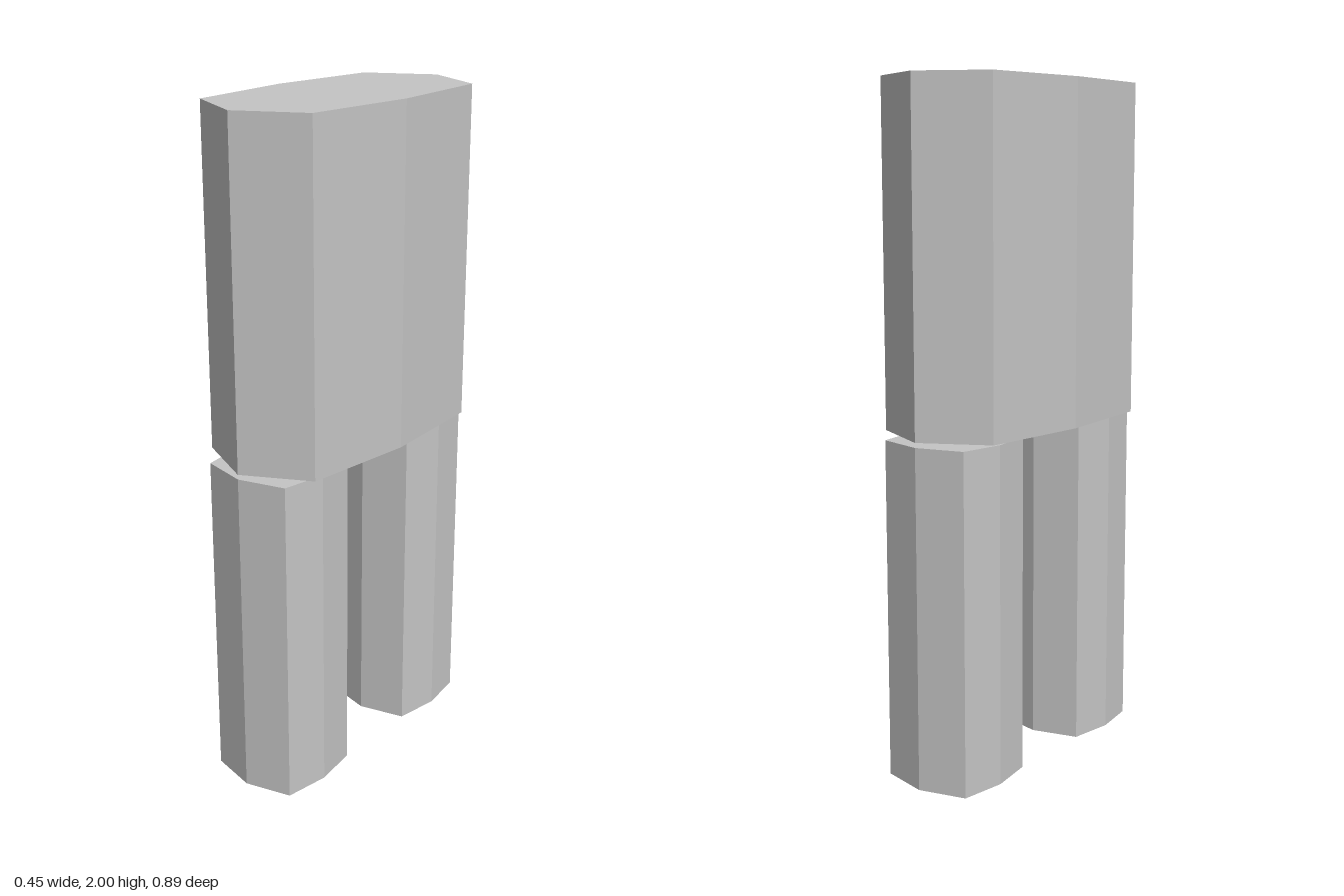
import * as THREE from 'three';

// Upright eight-sided prism, symmetric about x and z:
// end = half depth, (cx, cz) = corner, side = half width
function prism(name, material, { end, cx, cz, side }, bottom, top, z) {
  const outline = [[0, -end], [cx, -cz], [side, 0], [cx, cz], [0, end], [-cx, cz], [-side, 0], [-cx, -cz]];
  const shape = new THREE.Shape(outline.map(([x, y]) => new THREE.Vector2(x, y)));
  const geometry = new THREE.ExtrudeGeometry(shape, { depth: top - bottom, bevelEnabled: false });
  geometry.rotateX(-Math.PI / 2);
  const mesh = new THREE.Mesh(geometry, material);
  mesh.name = name;
  mesh.position.set(0, bottom, z);
  return mesh;
}

export function createModel() {
  const group = new THREE.Group();
  group.name = 'blockFigure';
  const grey = new THREE.MeshStandardMaterial({ color: 0xc4c4c4 });
  grey.name = 'light grey';

  // Wide upper block
  group.add(prism('upperBlock', grey, { end: 0.447, cx: 0.195, cz: 0.347, side: 0.225 }, 1.01, 2, 0));

  // Two separate columns, just below the block
  const column = { end: 0.171, cx: 0.141, cz: 0.135, side: 0.162 };
  for (const [name, s] of [['frontLeg', 1], ['backLeg', -1]]) {
    group.add(prism(name, grey, column, 0, 0.996, s * 0.276));
  }
  return group;
}
